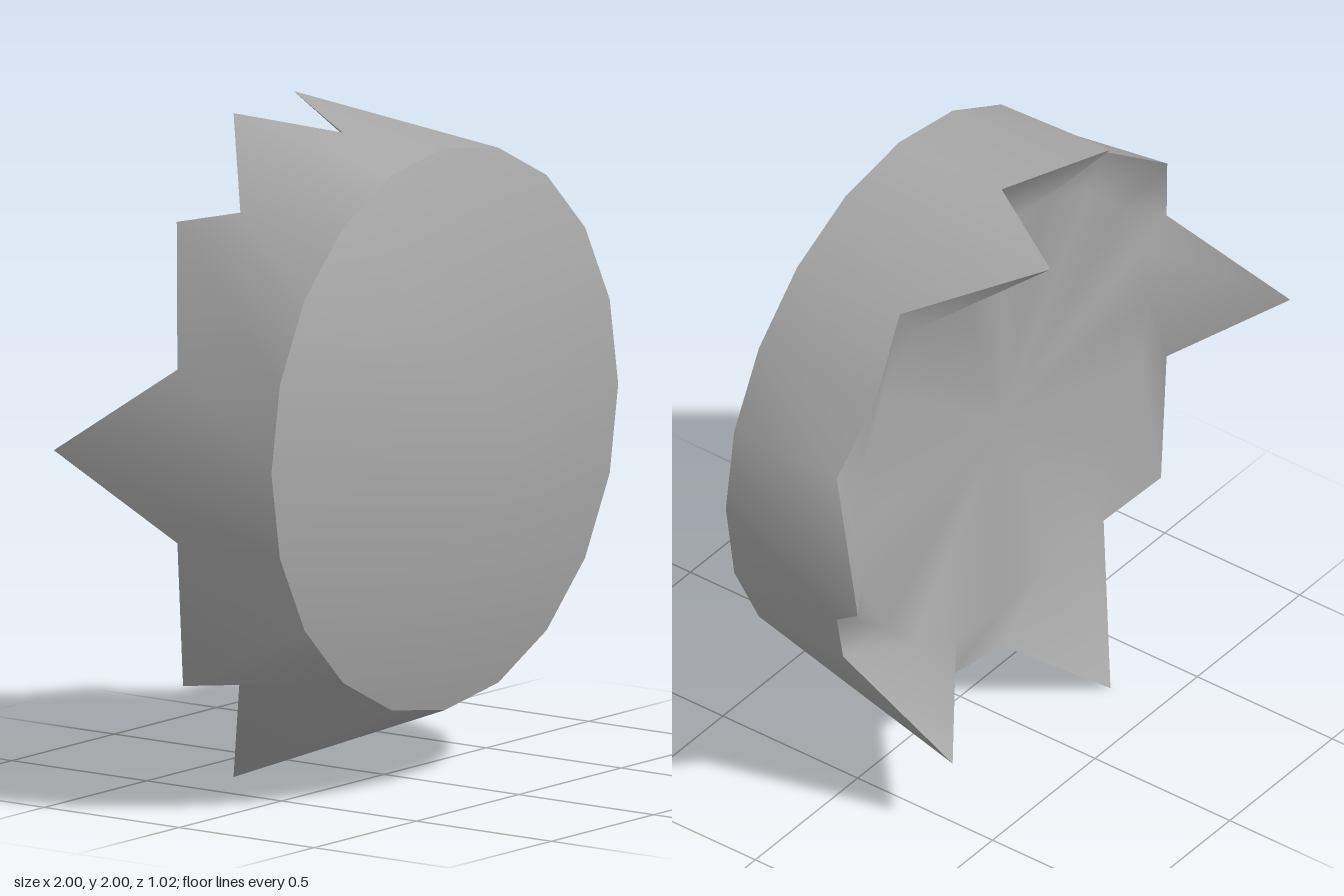
import * as THREE from 'three';

const SIDES = 20, RADIUS = 0.847, INNER_RADIUS = 0.72, CX = -0.032, CY = 1.076;
const RIM_Z = 0.25, EDGE_Z = -0.13;

// uneven rim: points pulled away from the regular ring, by step around the circle
const TORN = {
  0: [1.0, 1.08, -0.38],
  2: [0.65, 1.57, -0.18],
  4: [0.23, 1.96, -0.51],
  6: [-0.3, 2.0, -0.33],
  8: [-0.63, 1.73, -0.29],
  10: [-1.0, 1.08, -0.465],
  12: [-0.81, 0.38, -0.13],
  14: [-0.3, 0.0, -0.33],
  17: [0.53, 0.245, -0.375],
  18: [0.65, 0.57, -0.06],
};

function ringPoint(k, radius, z) {
  const a = (k / SIDES) * Math.PI * 2;
  return [CX + radius * Math.cos(a), CY + radius * Math.sin(a), z];
}

function surface(name, points, index, material) {
  const geometry = new THREE.BufferGeometry();
  geometry.setAttribute('position', new THREE.Float32BufferAttribute(points.flat(), 3));
  geometry.setIndex(index);
  geometry.computeVertexNormals();
  const mesh = new THREE.Mesh(geometry, material);
  mesh.name = name;
  return mesh;
}

export function createModel() {
  const group = new THREE.Group();
  group.name = 'jaggedCap';
  const grey = new THREE.MeshStandardMaterial({ color: 0xaaaaaa });
  grey.name = 'grey';

  const front = [], back = [], inner = [];
  const coneIndex = [], bandIndex = [], fanIndex = [];
  for (let k = 0; k < SIDES; k++) {
    const n = (k + 1) % SIDES;
    front.push(ringPoint(k, RADIUS, RIM_Z));
    back.push(TORN[k] ?? ringPoint(k, RADIUS, EDGE_Z));
    inner.push(ringPoint(k, INNER_RADIUS, EDGE_Z));
    coneIndex.push(2 * SIDES, k, n);
    bandIndex.push(k, SIDES + k, n, n, SIDES + k, SIDES + n);
    fanIndex.push(SIDES + k, 2 * SIDES, SIDES + n);
  }

  // shallow pointed front
  const cone = [...front, ...back, [CX, CY, 0.51]];
  group.add(surface('coneFront', cone, coneIndex, grey));
  // side wall ending in uneven spikes
  group.add(surface('spikedWall', [...front, ...back], bandIndex, grey));
  // back face: sloping inner sides of the spikes around a flat disc
  const cap = [...back, ...inner, [CX, CY, EDGE_Z]];
  group.add(surface('backFace', cap, [...bandIndex, ...fanIndex], grey));
  return group;
}
